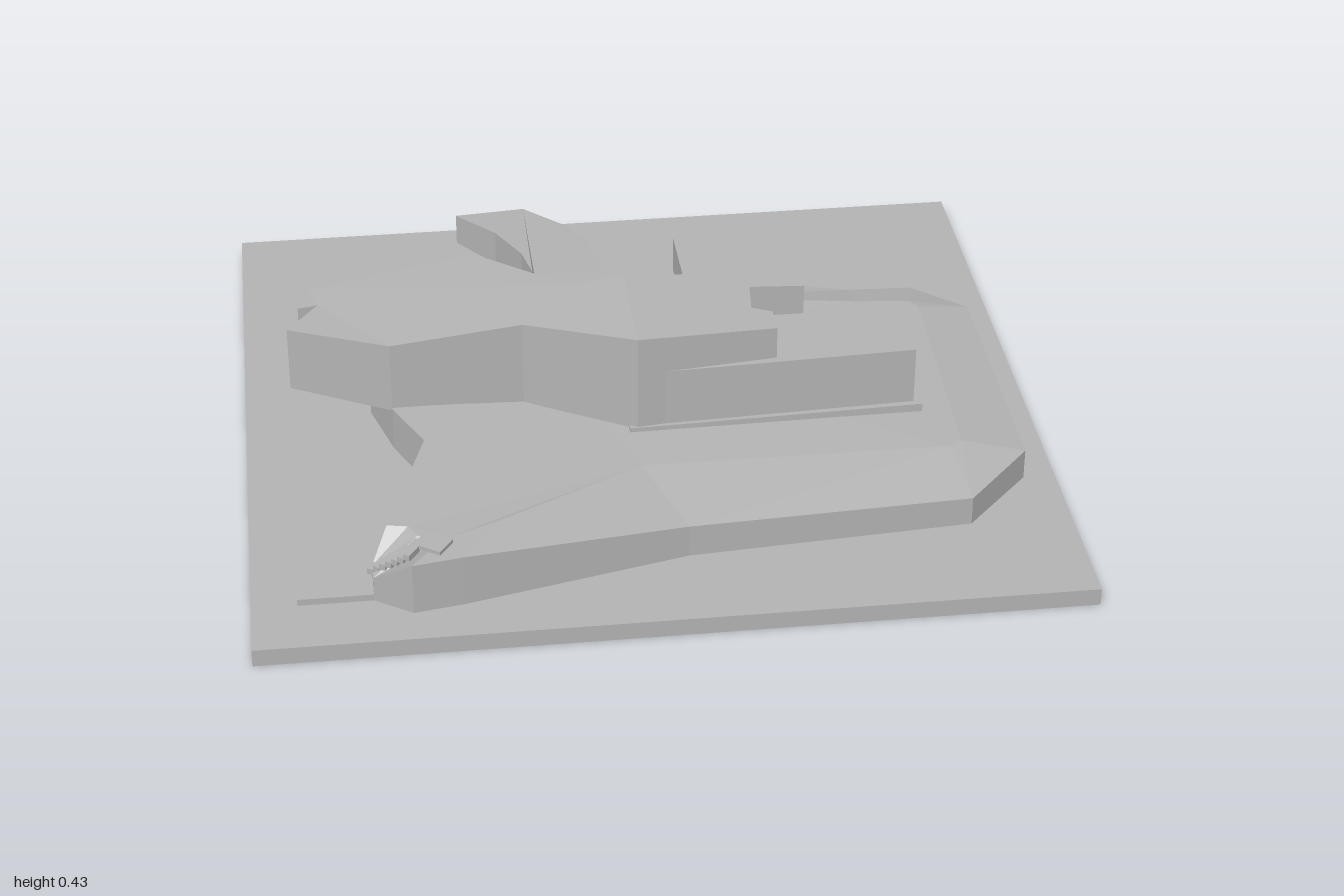
import * as THREE from 'three';

// Each corner is [x, z, topY]; faces are collected as loose triangles.
function orient(pts) {
  return THREE.ShapeUtils.area(pts.map(([x, z]) => new THREE.Vector2(x, z))) < 0 ? [...pts].reverse() : pts;
}

function cap(out, pts, height, up) {
  const flat = pts.map(([x, z]) => new THREE.Vector2(x, z));
  for (const tri of THREE.ShapeUtils.triangulateShape(flat, [])) {
    const order = up ? [tri[0], tri[2], tri[1]] : tri;
    for (const i of order) out.push(pts[i][0], height(pts[i]), pts[i][1]);
  }
}

function walls(out, pts, bottom) {
  pts.forEach((a, i) => {
    const b = pts[(i + 1) % pts.length];
    out.push(a[0], bottom, a[1], a[0], a[2], a[1], b[0], b[2], b[1]);
    out.push(a[0], bottom, a[1], b[0], b[2], b[1], b[0], bottom, b[1]);
  });
}

function toGeometry(out) {
  const g = new THREE.BufferGeometry();
  g.setAttribute('position', new THREE.Float32BufferAttribute(out, 3));
  g.computeVertexNormals();
  return g;
}

// Vertical solid over a plan outline; top is a constant or a function of x, z
function prism(plan, bottom, top) {
  const topOf = typeof top === 'function' ? top : () => top;
  const pts = orient(plan.map(([x, z, y]) => [x, z, y ?? topOf(x, z)]));
  const out = [];
  cap(out, pts, (p) => p[2], true);
  cap(out, pts, () => bottom, false);
  walls(out, pts, bottom);
  return toGeometry(out);
}

// Hill: cliff walls, a sloping shoulder from rim to crest, and a plateau
function hill(rows, bottom) {
  const rim = rows.map((r) => r.slice(0, 3));
  const crest = rows.map((r) => r.slice(3));
  const out = [];
  walls(out, rim, bottom);
  rim.forEach((a, i) => {
    const j = (i + 1) % rim.length;
    for (const [x, z, y] of [a, crest[i], rim[j], rim[j], crest[i], crest[j]]) out.push(x, y, z);
  });
  cap(out, crest, (p) => p[2], true);
  return toGeometry(out);
}

export function createModel() {
  const model = new THREE.Group();
  const grey = new THREE.MeshStandardMaterial({ color: 0xb3b3b3 });
  grey.name = 'model board grey';
  const add = (name, geometry) => {
    const mesh = new THREE.Mesh(geometry, grey);
    mesh.name = name;
    model.add(mesh);
    return mesh;
  };

  // Base board
  add('baseBoard', new THREE.BoxGeometry(2, 0.045, 1.88)).position.y = 0.0225;

  // Hill: rim x, z, y then crest x, z, y
  add('hill', hill([
    [-0.02, -0.49, 0.155, 0.12, -0.30, 0.17],
    [0.62, -0.355, 0.125, 0.62, -0.24, 0.158],
    [0.79, -0.355, 0.12, 0.76, -0.23, 0.155],
    [0.92, -0.23, 0.125, 0.78, -0.20, 0.155],
    [0.92, 0.46, 0.125, 0.76, 0.44, 0.155],
    [0.75, 0.64, 0.12, 0.73, 0.46, 0.155],
    [0.05, 0.69, 0.13, -0.04, 0.47, 0.165],
    [-0.50, 0.82, 0.18, -0.40, 0.68, 0.18],
    [-0.62, 0.84, 0.18, -0.54, 0.74, 0.18],
    [-0.71, 0.78, 0.11, -0.60, 0.72, 0.18],
    [-0.71, 0.73, 0.11, -0.62, 0.68, 0.18],
    [-0.67, 0.67, 0.18, -0.60, 0.64, 0.18],
    [-0.56, 0.32, 0.18, -0.50, 0.32, 0.18],
    [-0.63, 0.17, 0.18, -0.55, 0.15, 0.18],
    [-0.68, 0.00, 0.17, -0.55, 0.00, 0.18],
    [-0.50, -0.19, 0.17, -0.40, -0.10, 0.18],
    [-0.30, -0.29, 0.13, -0.29, -0.17, 0.175],
    [-0.22, -0.34, 0.17, -0.20, -0.18, 0.175],
  ], 0.045));

  // Curved approach road, climbing to the gateway
  add('approachRoad', prism([
    [-0.22, 0], [-0.22, -0.48], [-0.24, -0.60], [-0.30, -0.74], [-0.40, -0.87],
    [-0.21, -0.89], [-0.10, -0.76], [-0.05, -0.63], [-0.02, -0.49], [-0.02, 0],
  ], 0.045, (x, z) => Math.min(0.182, 0.13 + (z + 0.89) * 0.09)));

  // Low path along the west side
  add('lowerPath', prism([
    [-0.89, 0.78], [-0.60, 0.78], [-0.50, 0.32], [-0.60, 0.17], [-0.60, -0.21], [-0.76, -0.18],
    [-0.70, -0.58], [-0.83, -0.58], [-0.87, -0.24], [-0.89, 0.05],
  ], 0.04, 0.062));
  add('pathRamp', prism([
    [-0.76, -0.18, 0.063], [-0.30, -0.29, 0.13], [-0.30, -0.18, 0.13], [-0.60, -0.12, 0.08],
  ], 0.045));

  // Steps from the path to the plateau
  const stairs = new THREE.Group();
  stairs.name = 'stairs';
  const stepGeometry = new THREE.BoxGeometry(0.017, 0.016, 0.09);
  for (let i = 0; i < 7; i++) {
    const step = new THREE.Mesh(stepGeometry, grey);
    step.name = 'step';
    step.position.set(-0.69 + i * 0.014, 0.108 + i * 0.012, 0.715 + i * 0.009);
    step.rotation.y = -0.6;
    stairs.add(step);
  }
  model.add(stairs);
  const landing = add('stairLanding', new THREE.BoxGeometry(0.06, 0.012, 0.06));
  landing.position.set(-0.56, 0.184, 0.765);
  landing.rotation.y = -0.6;

  // Plinth under the eastern blocks
  add('plinth', prism([
    [-0.05, 0.325], [0.69, 0.30], [0.72, 0.07], [0.61, 0.07], [0.63, -0.07], [0.14, -0.17], [-0.05, -0.05],
  ], 0.14, 0.178));

  // Long west wing with its climbing roof, overhanging the path
  const roofRise = (x) => 0.344 + 0.087 * Math.max(0, (x + 0.78) / 0.75);
  add('westWing', prism([
    [-0.88, 0.03], [-0.63, 0.165], [-0.30, 0.165], [-0.03, 0.32], [-0.03, 0.01],
    [-0.17, 0.01], [-0.39, -0.21], [-0.82, -0.16], [-0.85, -0.07], [-0.80, -0.08],
  ], 0.172, roofRise));

  // Tall main hall at the top of the roof
  const roofFall = (x) => 0.431 - 0.045 * (x + 0.03);
  add('mainHall', prism([
    [-0.03, 0.32], [0.32, 0.28], [0.32, 0.20], [0.27, 0.18], [0.28, 0.08],
    [0.42, 0.08], [0.42, -0.06], [0.32, -0.09], [0.12, -0.17], [0.12, 0.01], [-0.03, 0.01],
  ], 0.17, roofFall));

  // Lower south-east block with a flat deck
  add('eastBlock', prism([[-0.03, 0.315], [0.67, 0.285], [0.70, 0.08], [0.20, 0.08]], 0.17, 0.33));

  // Gatehouse bridging the road on the north side
  add('gateWestPier', prism([[-0.39, -0.205], [-0.30, -0.18], [-0.22, -0.185], [-0.22, 0], [-0.30, 0]], 0.16, 0.33));
  add('gateEastPier', prism([[-0.02, -0.20], [0.10, -0.21], [0.13, -0.17], [0.13, 0.02], [-0.02, 0.02]], 0.15, 0.33));
  add('gateRoof', prism([[-0.39, -0.20], [-0.30, -0.175], [0.10, -0.205], [0.12, 0.02], [-0.17, 0.02]], 0.27, 0.332));

  // Wing walls flanking the road
  add('gateEastWall', prism([
    [-0.02, -0.34, 0.18], [0.0, -0.34, 0.18], [0.0, -0.19, 0.22], [-0.02, -0.19, 0.22],
  ], 0.1));
  add('gateWestWall', prism([
    [-0.30, -0.29, 0.13], [-0.22, -0.34, 0.175], [-0.22, -0.17, 0.20], [-0.30, -0.17, 0.20],
  ], 0.045));
  return model;
}
